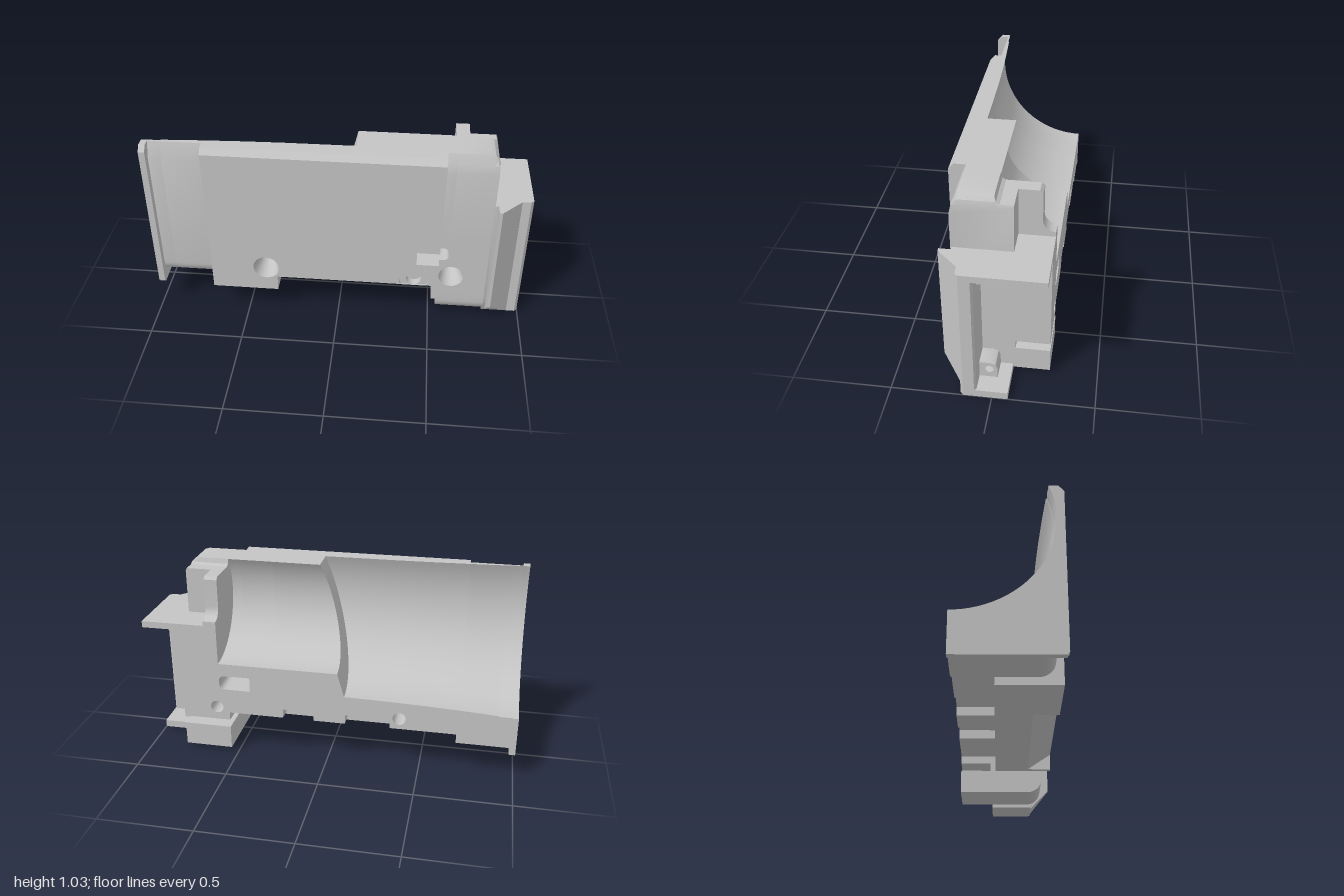
import * as THREE from 'three';
import { toCreasedNormals } from 'three/addons/utils/BufferGeometryUtils.js';

const BACK = -0.262, FRONT = 0.262, TOP = 1.03, SKIN = 0.215, RAIL = -0.06;

export function createModel() {
  const group = new THREE.Group();
  const grey = new THREE.MeshStandardMaterial({ color: 0xc4c4c4 });
  grey.name = 'plain grey';

  const add = (name, geometry) => {
    const mesh = new THREE.Mesh(toCreasedNormals(geometry, 0.5), grey);
    mesh.name = name;
    group.add(mesh);
  };
  const arc = (cx, cy, r, a0, a1, n = 8) => Array.from({ length: n + 1 }, (_, i) => {
    const a = THREE.MathUtils.degToRad(a0 + (a1 - a0) * i / n);
    return [cx + r * Math.cos(a), cy + r * Math.sin(a)];
  });
  const vectors = (pts) => pts.map(([a, b]) => new THREE.Vector2(a, b));
  const circle = (cx, cy, r) => arc(cx, cy, r, 0, 345, 23);
  const extrude = (pts, holes, depth) => {
    const shape = new THREE.Shape(vectors(pts));
    shape.holes = holes.map((h) => new THREE.Path(vectors(h)));
    return new THREE.ExtrudeGeometry(shape, { depth, bevelEnabled: false });
  };
  // Outline in x, y extruded along z
  const prismZ = (name, pts, z0, z1, holes = []) =>
    add(name, extrude(pts, holes, z1 - z0).translate(0, 0, z0));
  // Outline in z, y extruded along x
  const prismX = (name, pts, x0, x1, holes = []) => {
    const flip = (list) => list.map(([z, y]) => [-z, y]);
    add(name, extrude(flip(pts), holes.map(flip), x1 - x0).rotateY(Math.PI / 2).translate(x0, 0, 0));
  };
  const box = (name, x0, x1, y0, y1, z0, z1) =>
    prismZ(name, [[x0, y0], [x1, y0], [x1, y1], [x0, y1]], z0, z1);
  // Inward-facing cone between a front opening and a bolt hole
  const countersink = (x, y, r0, z0, r1, z1) =>
    add('countersink', new THREE.LatheGeometry(vectors([[r0, z0], [r1, z1]]), 24)
      .rotateX(Math.PI / 2).translate(x, y, 0));

  // Skin between matching rings of [x, y, z]; flat() projects a ring for its end cap
  const loft = (name, rings, flat) => {
    const contour = vectors(rings[0].map(flat));
    if (THREE.ShapeUtils.isClockWise(contour)) rings = rings.map((r) => [...r].reverse());
    const pos = [], n = rings[0].length;
    const tri = (a, b, c) => pos.push(...a, ...b, ...c);
    for (let s = 0; s < rings.length - 1; s++) {
      const p = rings[s], q = rings[s + 1];
      for (let i = 0; i < n; i++) {
        const j = (i + 1) % n;
        tri(p[i], p[j], q[i]);
        tri(p[j], q[j], q[i]);
      }
    }
    const first = rings[0], last = rings[rings.length - 1];
    for (const [a, b, c] of THREE.ShapeUtils.triangulateShape(vectors(first.map(flat)), []))
      tri(first[c], first[b], first[a]);
    for (const [a, b, c] of THREE.ShapeUtils.triangulateShape(vectors(last.map(flat)), []))
      tri(last[a], last[b], last[c]);
    const g = new THREE.BufferGeometry();
    g.setAttribute('position', new THREE.Float32BufferAttribute(pos, 3));
    add(name, g);
  };
  const alongX = ([, y, z]) => [-z, y];

  // Round bore centred on the back plane, cut off by the top face, as z, y
  const AXIS = 0.85;
  const bore = (r) =>
    arc(BACK, AXIS, r, THREE.MathUtils.radToDeg(Math.asin((TOP - AXIS) / r)), -90, 28);
  const wide = (x) => bore(0.45 + 0.035 * x * x);
  const narrow = bore(0.32);
  const at = (x, pts) => pts.map(([z, y]) => [typeof x === 'function' ? x(y) : x, y, z]);
  const step = (y) => -0.095 + 0.286 * (y - 0.4);
  const wall = (low, bored) => [[BACK, low], [SKIN, low], [SKIN, TOP], ...bored];

  // Left end flange with two bolt holes running into the collar
  const endHoles = [circle(0, 0.25, 0.033), circle(0.12, 0.46, 0.033)];
  prismX('endFlange', [[BACK, 0.15], [0.25, 0.15], [FRONT, 0.165], [FRONT, 1.0], [0.235, TOP], ...wide(-1)],
    -1, -0.967, endHoles);

  // Recessed collar with rounded lower edge
  const collar = [[BACK, 0.19], ...arc(0.145, 0.27, 0.08, -90, 0), [0.225, 0.94], [0.197, TOP]];
  prismX('collarEnd', [...collar, ...wide(-0.967)], -0.967, -0.9, endHoles);
  loft('collar', [-0.9, -0.8, -0.69].map((x) => at(x, [...collar, ...wide(x)])), alongX);

  // Upper walls around the wide and the narrow bore
  loft('wideBoreWall', [...[-0.69, -0.5, -0.3].map((x) => at(x, wall(0.38, wide(x)))),
    at(step, wall(0.38, wide(0)))], alongX);
  loft('narrowBoreWall', [at(step, wall(0.38, narrow)), at(0.35, wall(0.38, narrow))], alongX);
  prismX('narrowBoreWallEnd', wall(0.49, narrow), 0.35, 0.54);
  const shoulder = [[0.21, 0.93], [0.198, 0.98], [0.175, TOP]];
  prismX('shoulderWall', [[BACK, 0.49], [0.21, 0.49], ...shoulder, ...narrow], 0.54, 0.59);

  // Lower body, with bottom pockets at the back, and open side of the slot
  const slotCut = [[0.54, 0.38], [0.42, 0.38], [0.42, 0.46], [0.54, 0.46]];
  const upperEdge = [...slotCut, [0.54, 0.49], [0.35, 0.49], [0.35, 0.38], [-0.69, 0.38]];
  const pocket = (x0, x1) => [[x0, 0.24], [x0, 0.29], [x1, 0.29], [x1, 0.24]];
  const plainBody = [[-0.69, 0.24], [0.54, 0.24], ...upperEdge];
  const bolt = (r) => [circle(-0.39, 0.3, r)];
  prismZ('lowerBodyBack', [[-0.69, 0.24], ...pocket(-0.34, -0.1), ...pocket(0.07, 0.24), [0.54, 0.24], ...upperEdge],
    BACK, RAIL, bolt(0.035));
  prismZ('lowerBody', plainBody, RAIL, 0.11, bolt(0.035));
  prismZ('lowerBodyFront', plainBody, 0.11, SKIN, bolt(0.0595));

  // Bottom rail: undercut along the middle, square at both ends
  prismX('bottomRail', [[FRONT, 0.24], [0.13, 0.15], [RAIL, 0.15], [RAIL, 0.24]], -0.33, 0.51);
  box('railEnd', -0.69, -0.33, 0.15, 0.24, RAIL, SKIN);
  box('railEnd', 0.51, 0.54, 0.15, 0.24, RAIL, SKIN);

  // Outer front plate with a countersunk hole and a nest for the screw boss
  prismZ('frontPlate', [[-0.69, 0.15], [-0.33, 0.15], [-0.33, 0.24],
    ...arc(0.41, 0.28, 0.08, 210, -30, 18), [0.51, 0.24], [0.51, 0.15], [0.54, 0.15],
    ...slotCut, [0.54, 0.95], [-0.69, 0.95]], SKIN, FRONT, bolt(0.07));
  countersink(-0.39, 0.3, 0.07, FRONT, 0.035, 0.11);
  prismX('frontPlateChamfer', [[SKIN, 0.95], [FRONT, 0.95], [FRONT, 1.0], [0.235, TOP], [SKIN, TOP]], -0.69, 0.54);
  prismZ('screwBoss', arc(0.41, 0.28, 0.078, 217, -37, 18), 0.18, 0.255, [circle(0.41, 0.28, 0.04)]);

  // Right-hand block: rounded foot, drilled body and closed side of the slot
  prismX('foot', [[BACK, 0.02], ...arc(0.13, 0.1, 0.08, -90, 0), [0.21, 0.15], [BACK, 0.15]], 0.54, 0.8);
  const block = (low) => [[0.54, low], [0.8, low], [0.8, 0.49], [0.54, 0.49], [0.54, 0.46],
    ...arc(0.56, 0.43, 0.03, 90, 0, 5), ...arc(0.56, 0.41, 0.03, 0, -90, 5), [0.54, 0.38]];
  const blockHole = (r) => [circle(0.61, 0.27, r)];
  prismZ('blockBack', block(0.195), BACK, -0.09, blockHole(0.035));
  prismZ('blockMiddle', block(0.15), -0.09, 0.06, blockHole(0.035));
  prismZ('blockFront', block(0.15), 0.06, 0.21, blockHole(0.067));
  countersink(0.61, 0.27, 0.067, 0.21, 0.035, 0.06);

  // Shoulder above the block, rounded towards its end
  const shoulderSection = [[-0.085, 0.49], [0.21, 0.49], ...shoulder, [0.005, TOP], [-0.003, 1.005],
    [-0.02, 0.995], [-0.085, 0.995]];
  const round = [[0.59, TOP], [0.75, TOP], [0.775, 1.023], [0.793, 1.005], [0.8, 0.98]];
  loft('shoulder', round.map(([x, top]) =>
    at(x, shoulderSection.map(([z, y]) => [z, Math.min(y, top)]))), alongX);
  // Hooked post closing the narrow bore, and the low ledge beside it
  prismX('hookPost', [[-0.085, 0.49], [-0.085, 0.995], [-0.185, 0.995], [-0.2, 0.98],
    ...arc(BACK, 0.832, 0.062, 0, -90), [BACK, 0.49]], 0.59, 0.66);
  box('postLedge', 0.66, 0.8, 0.49, 0.745, BACK, -0.085);

  // End cap: wedge-shaped front wall, top and bottom shelves
  const wedge = [[0.8, 0.075], [0.8, 0.205], [0.818, 0.205], [0.818, FRONT], [0.835, FRONT],
    [0.94, 0.155], [0.985, 0.155], [1, 0.14], [1, 0.085], [0.99, 0.075]];
  loft('capWedge', [[0, 0.155], [0.11, FRONT], [0.745, FRONT]].map(([y, limit]) =>
    wedge.map(([x, z]) => [x, y, Math.min(z, limit)])), ([x, , z]) => [x, -z]);
  const shelf = (name, y0, y1, z0) => box(name, 0.8, 1, y0, y1, z0, 0.085);
  shelf('capTopShelf', 0.71, 0.745, BACK);
  shelf('capBottomShelf', 0, 0.04, -0.078);

  // Screw bosses in the corners of the cap
  for (const [y, s] of [[0.66, 1], [0.09, -1]]) {
    const outline = [[0.08, y + 0.05 * s], [0.08, y - 0.04 * s], [0.02, y - 0.04 * s],
      [-0.005, y - 0.03 * s], [-0.015, y - 0.005 * s], [-0.015, y + 0.05 * s]];
    prismX('capScrewBoss', outline, 0.8, 0.9, [circle(0.025, y, 0.02)]);
  }
  return group;
}
